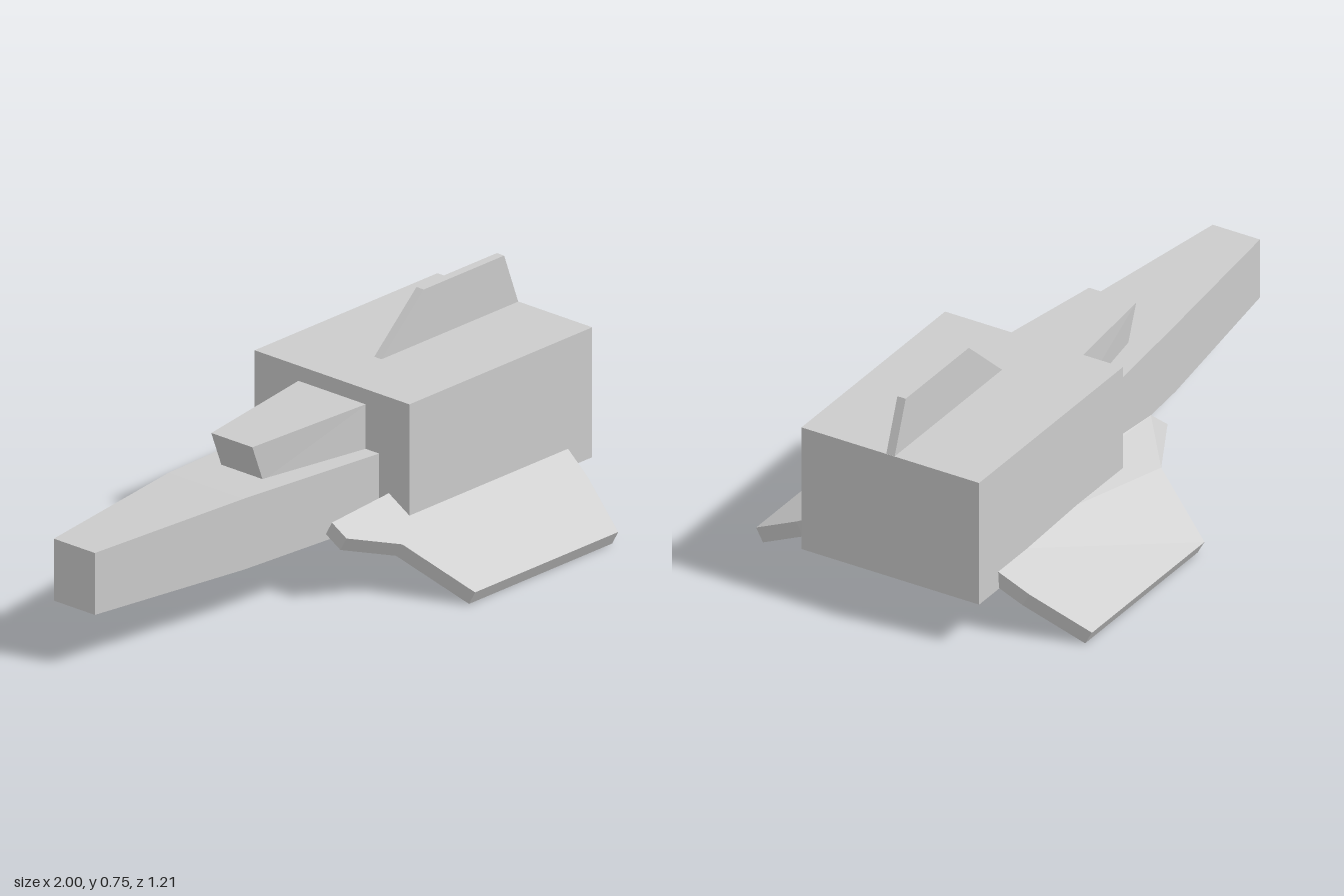
import * as THREE from 'three';

const material = new THREE.MeshStandardMaterial({ color: 0xcccccc, flatShading: true });

function add(group, name, geometry) {
  const flat = geometry.index ? geometry.toNonIndexed() : geometry;
  flat.computeVertexNormals();
  const mesh = new THREE.Mesh(flat, material);
  mesh.name = name;
  group.add(mesh);
  return mesh;
}

// Move every vertex by a rule (x, y, z) => [x, y, z]
function reshape(geometry, rule) {
  const p = geometry.attributes.position;
  for (let i = 0; i < p.count; i++) p.setXYZ(i, ...rule(p.getX(i), p.getY(i), p.getZ(i)));
  return geometry;
}

function outline(points) {
  return new THREE.Shape(points.map(([x, y]) => new THREE.Vector2(x, y)));
}

// Box bent through rectangular sections: [x at bottom, x at top, bottom, top, half width]
function taperedBox(sections) {
  const n = sections.length - 1;
  return reshape(new THREE.BoxGeometry(1, 1, 1, n, 1, 1), (x, y, z) => {
    const [xLow, xHigh, low, high, half] = sections[Math.round((x + 0.5) * n)];
    return [y > 0 ? xHigh : xLow, y > 0 ? high : low, Math.sign(z) * half];
  });
}

// Drooping slab wing; side is +1 or -1 along z
function wing(side) {
  const plan = outline([
    [-0.105, 0.25], [0.17, 0.235], [0.89, 0.235], [0.89, 0.32], [0.87, 0.42],
    [0.805, 0.605], [0.155, 0.605], [0.06, 0.39], [-0.105, 0.31],
  ]);
  const slab = new THREE.ExtrudeGeometry(plan, { depth: 1, bevelEnabled: false });
  return reshape(slab, (x, out, t) => {
    const depth = side > 0 ? t : 1 - t;
    // the far wing's leading root is slightly lifted
    const lift = side < 0 && x < 0.1 && out > 0.3 ? 0.022 : 0;
    return [x, 0.05 + (0.605 - out) * 0.596 - 0.045 * depth + lift, side * (out - 0.025 * depth)];
  });
}

export function createModel() {
  const model = new THREE.Group();
  model.name = 'spacecraft';

  // Main hull block
  const hull = add(model, 'hull', new THREE.BoxGeometry(0.83, 0.43, 0.64));
  hull.position.set(0.585, 0.373, 0);

  // Long nose, narrowing towards -x
  add(model, 'nose', taperedBox([
    [-1, -1, 0.185, 0.39, 0.085],
    [-0.4, -0.4, 0.17, 0.405, 0.155],
    [0.18, 0.18, 0.165, 0.39, 0.195],
  ]));

  // Cockpit with an overhanging front
  add(model, 'cockpit', taperedBox([
    [-0.237, -0.285, 0.395, 0.52, 0.085],
    [0.18, 0.18, 0.38, 0.538, 0.14],
  ]));

  // Dorsal fin
  const finShape = outline([[0.375, 0.585], [1, 0.585], [0.935, 0.76], [0.57, 0.76]]);
  const fin = add(model, 'dorsalFin', new THREE.ExtrudeGeometry(finShape, { depth: 0.03, bevelEnabled: false }));
  fin.position.z = -0.015;

  // Wings
  add(model, 'frontWing', wing(1));
  add(model, 'backWing', wing(-1));

  return model;
}
